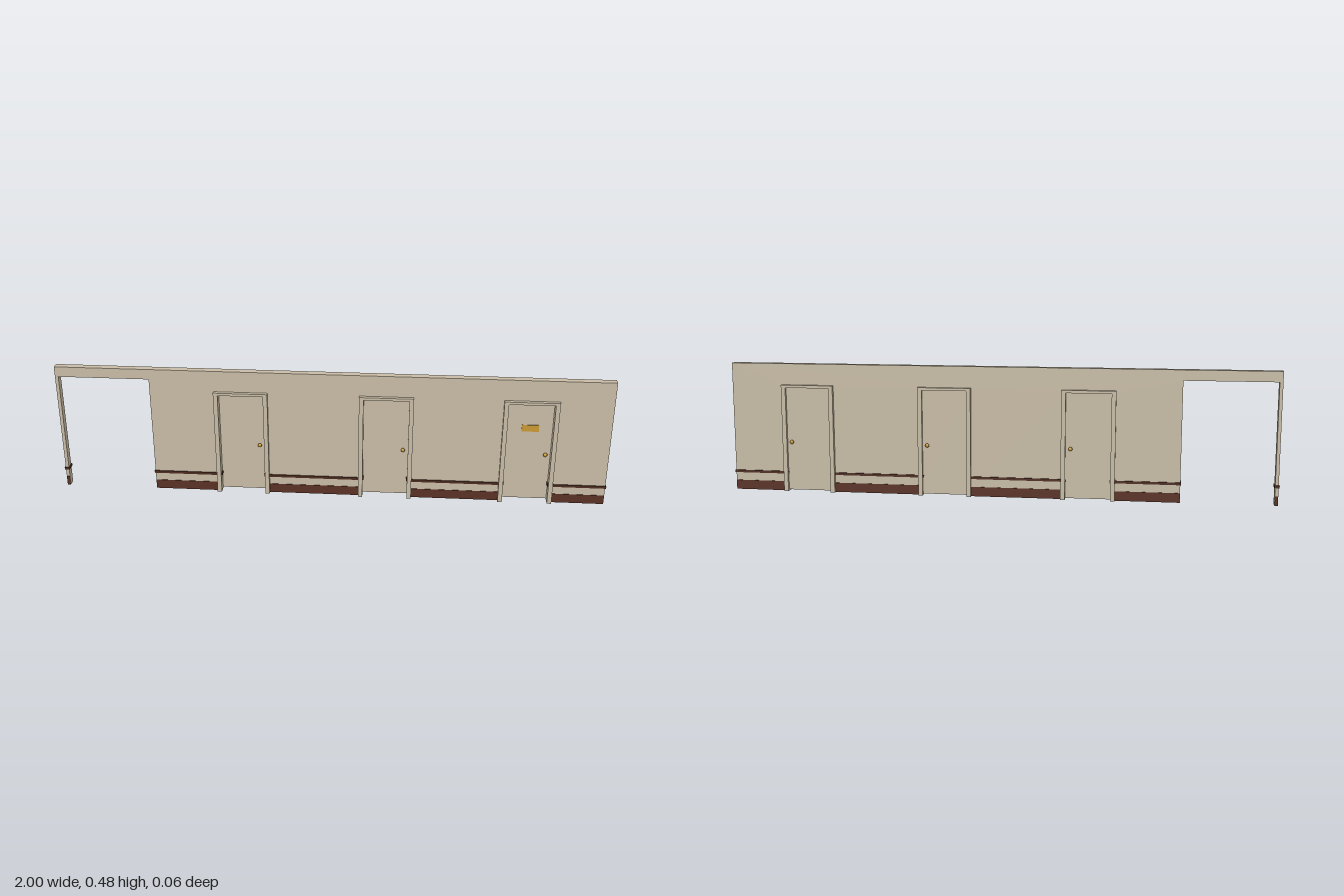
import * as THREE from 'three';

export function createModel() {
  const model = new THREE.Group();
  model.name = 'corridorWall';

  const material = (name, color) => {
    const m = new THREE.MeshStandardMaterial({ color });
    m.name = name;
    return m;
  };
  const beige = material('beigePaint', 0xc8bca6);
  const brown = material('baseboardBrown', 0x5a3225);
  const darkBrown = material('railBrown', 0x4e2d21);
  const brass = material('brass', 0xc99a35);

  // Box given by its lower and upper limits on each axis
  const box = (parent, name, mat, [x0, x1], [y0, y1], [z0, z1]) => {
    const mesh = new THREE.Mesh(new THREE.BoxGeometry(x1 - x0, y1 - y0, z1 - z0), mat);
    mesh.position.set((x0 + x1) / 2, (y0 + y1) / 2, (z0 + z1) / 2);
    mesh.name = name;
    parent.add(mesh);
    return mesh;
  };

  const END = 0.997, TOP = 0.478, HALF = 0.0138;
  const passage = { x0: -0.985, x1: -0.655, top: 0.44 };
  const doorCentres = [-0.325, 0.198, 0.71];
  const OUTER = 0.0975, INNER = 0.0815, FRAME_TOP = 0.4, FRAME_Z = 0.0275;

  // Wall outline, notched from below by the passage and the doorways
  const shape = new THREE.Shape();
  shape.moveTo(-END, 0);
  const notch = (x0, x1, top) => {
    shape.lineTo(x0, 0);
    shape.lineTo(x0, top);
    shape.lineTo(x1, top);
    shape.lineTo(x1, 0);
  };
  notch(passage.x0, passage.x1, passage.top);
  doorCentres.forEach((x) => notch(x - 0.09, x + 0.09, 0.395));
  shape.lineTo(END, 0);
  shape.lineTo(END, TOP);
  shape.lineTo(-END, TOP);
  const wallGeometry = new THREE.ExtrudeGeometry(shape, { depth: HALF * 2, bevelEnabled: false });
  wallGeometry.translate(0, 0, -HALF);
  const wall = new THREE.Mesh(wallGeometry, beige);
  wall.name = 'wall';
  model.add(wall);

  // Solid wall runs between openings carry the baseboard and the rail
  const edges = [-END, passage.x0, passage.x1];
  doorCentres.forEach((x) => edges.push(x - INNER, x + INNER));
  edges.push(END);
  for (let i = 0; i < edges.length; i += 2) {
    const a = edges[i], b = edges[i + 1];
    box(model, 'baseboard', brown, [a + 0.0005, b - 0.0005], [0.0005, 0.035], [-0.0155, 0.0155]);
    box(model, 'chairRail', darkBrown, [a - 0.003, b + 0.003], [0.065, 0.074], [-0.018, 0.018]);
  }

  // Doors: frame, recessed leaf and a knob on both sides
  const PANEL_BACK = -0.016, PANEL_FRONT = -0.004;
  doorCentres.forEach((x, i) => {
    const door = new THREE.Group();
    door.name = 'door' + (i + 1);
    door.position.x = x;
    model.add(door);

    const depth = [-FRAME_Z, FRAME_Z];
    box(door, 'rightJamb', beige, [-OUTER, -INNER], [0, 0.39], depth);
    box(door, 'leftJamb', beige, [INNER, OUTER], [0, 0.39], depth);
    box(door, 'header', beige, [-OUTER, OUTER], [0.39, FRAME_TOP], depth);
    box(door, 'leaf', beige, [-INNER, INNER], [0.005, 0.39], [PANEL_BACK, PANEL_FRONT]);

    for (const [z, out] of [[PANEL_FRONT, 1], [PANEL_BACK, -1]]) {
      const stem = new THREE.Mesh(new THREE.CylinderGeometry(0.004, 0.004, 0.006, 10), brass);
      stem.rotation.x = Math.PI / 2;
      stem.position.set(0.063, 0.187, z + out * 0.003);
      stem.name = 'knobStem';
      const knob = new THREE.Mesh(new THREE.SphereGeometry(0.0075, 12, 8), brass);
      knob.scale.z = 0.7;
      knob.position.set(0.063, 0.187, z + out * 0.008);
      knob.name = 'knob';
      door.add(stem, knob);
    }
  });

  // Blank name plate on the last door
  box(model, 'doorPlate', brass, [0.682, 0.743], [0.275, 0.3], [PANEL_FRONT, PANEL_FRONT + 0.003]);

  return model;
}
